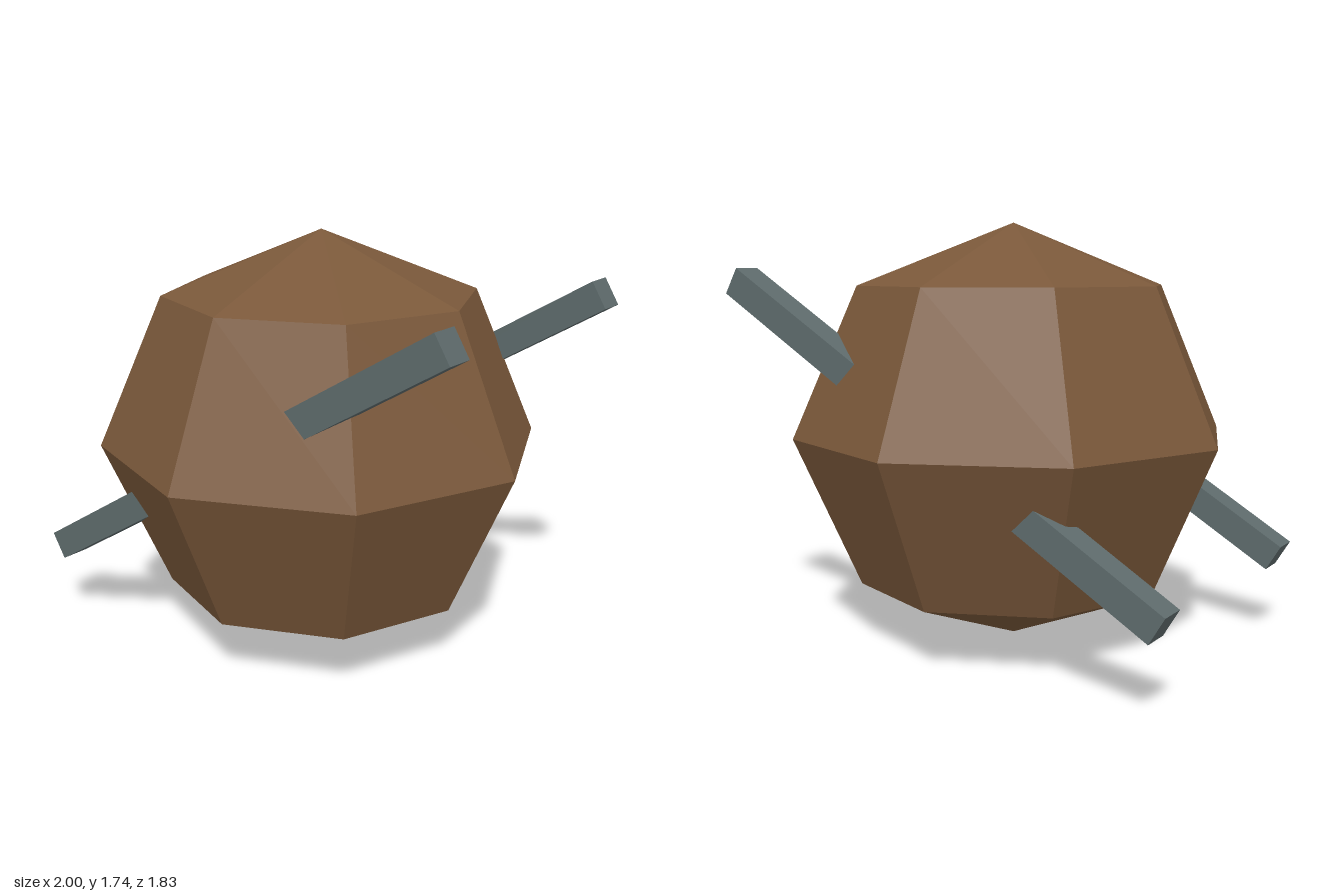
import * as THREE from 'three';

export function createModel() {
  const model = new THREE.Group();

  const brown = new THREE.MeshStandardMaterial({ color: 0x7a583a });
  brown.name = 'brown';
  brown.flatShading = true;
  const slateGrey = new THREE.MeshStandardMaterial({ color: 0x5e6b6c });
  slateGrey.name = 'slateGrey';
  slateGrey.flatShading = true;

  // Faceted body, slightly squashed in height
  const radius = 0.915;
  const halfHeight = 0.87;
  const body = new THREE.Mesh(new THREE.SphereGeometry(radius, 8, 4), brown);
  body.name = 'body';
  body.scale.y = halfHeight / radius;
  body.position.y = halfHeight;
  model.add(body);

  // Two slanted bars running right through the body, front and back
  const barGeometry = new THREE.BoxGeometry(2.256, 0.12, 0.122);
  for (const [name, z] of [['frontBar', 0.582], ['backBar', -0.582]]) {
    const bar = new THREE.Mesh(barGeometry, slateGrey);
    bar.name = name;
    bar.position.set(0, 0.922, z);
    bar.rotation.z = THREE.MathUtils.degToRad(31);
    model.add(bar);
  }

  return model;
}
